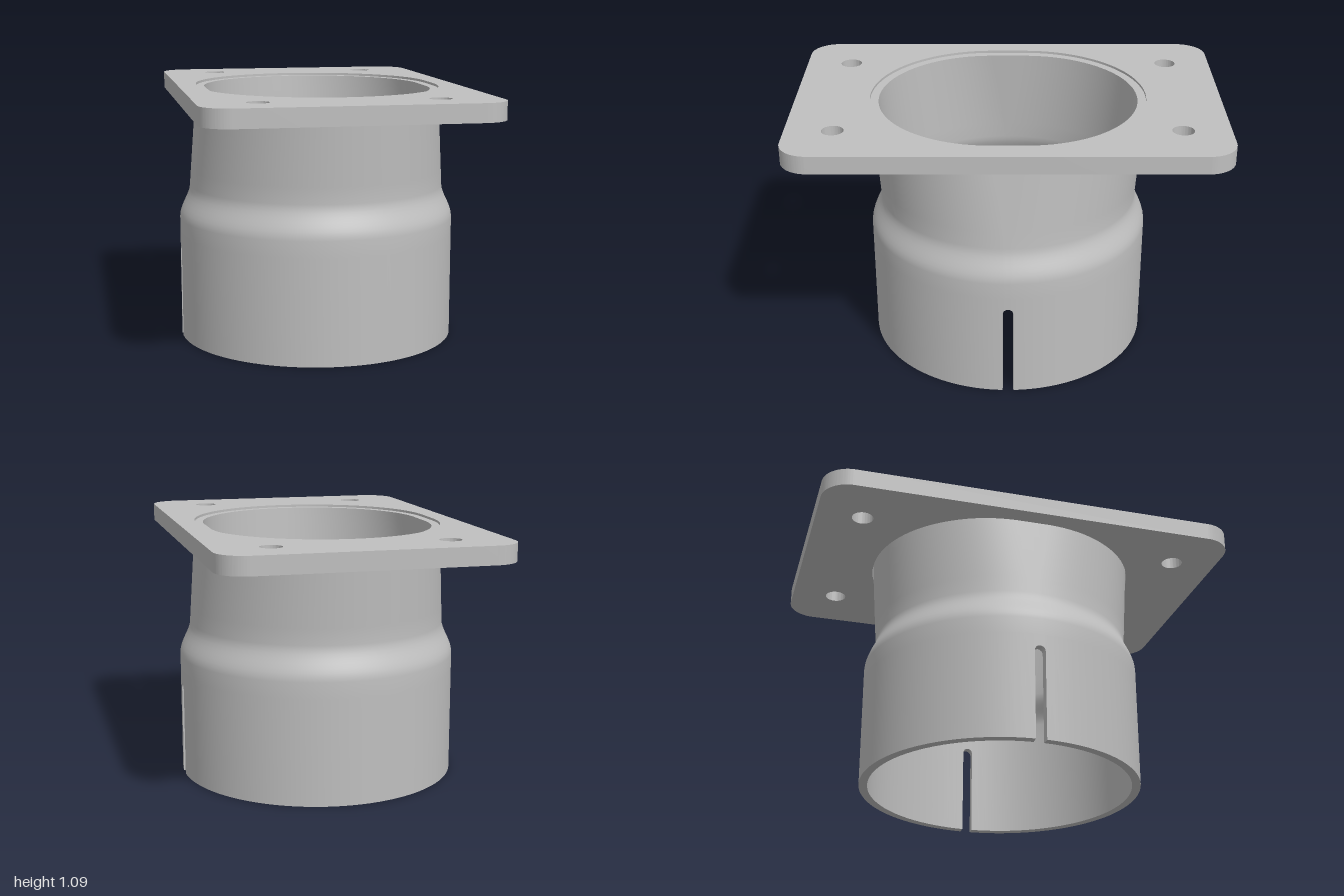
import * as THREE from 'three';
import { toCreasedNormals } from 'three/addons/utils/BufferGeometryUtils.js';

const WALL = 0.036;
const THROAT_R = 0.55, BODY_R = 0.595;
const TOP_R = 0.51, TOP_C = 0.07; // stretched opening: end radius and centre offset
const PLATE_Y = 1.015, PLATE_T = 0.075;

// Rectangle with rounded corners
function roundedRect(hw, hh, r) {
  const s = new THREE.Shape();
  s.absarc(hw - r, hh - r, r, 0, Math.PI / 2);
  s.absarc(-hw + r, hh - r, r, Math.PI / 2, Math.PI);
  s.absarc(-hw + r, -hh + r, r, Math.PI, Math.PI * 1.5);
  s.absarc(hw - r, -hh + r, r, Math.PI * 1.5, Math.PI * 2);
  s.closePath();
  return s;
}

// Flange plate with a stretched opening and four bolt holes
function plateGeometry() {
  const shape = roundedRect(0.891, 0.594, 0.12);
  const opening = new THREE.Path();
  opening.absarc(TOP_C, 0, TOP_R, -Math.PI / 2, Math.PI / 2);
  opening.absarc(-TOP_C, 0, TOP_R, Math.PI / 2, Math.PI * 1.5);
  opening.closePath();
  shape.holes.push(opening);
  for (const x of [-0.697, 0.697]) {
    for (const y of [-0.357, 0.357]) {
      shape.holes.push(new THREE.Path().absarc(x, y, 0.045, 0, Math.PI * 2));
    }
  }
  const g = new THREE.ExtrudeGeometry(shape, { depth: PLATE_T, bevelEnabled: false, curveSegments: 40 });
  g.rotateX(-Math.PI / 2).translate(0, PLATE_Y, 0);
  return toCreasedNormals(g, 0.6);
}

// Columns around the tube: angle and height of the lower edge, rising over the slots
function tubeColumns() {
  const cols = [], halfSlot = 0.0225, a = halfSlot / BODY_R, steps = 48;
  for (const mid of [Math.PI / 2, Math.PI * 1.5]) {
    cols.push([mid - a, 0]);
    for (let k = 0; k <= 8; k++) {
      const t = Math.PI * (1 - k / 8);
      cols.push([mid + a * Math.cos(t), 0.3775 + halfSlot * Math.sin(t)]);
    }
    cols.push([mid + a, 0]);
    for (let k = 1; k < steps; k++) cols.push([mid + a + (Math.PI - 2 * a) * k / steps, 0]);
  }
  return cols;
}

// Wall profile: height, radius, stretch; up the outside, then down the inside
function tubeRows() {
  const outer = [[null, BODY_R, 0], [0.45, BODY_R, 0]];
  for (let k = 0; k <= 8; k++) {
    const t = k / 8;
    outer.push([0.52 + 0.14 * t, THREE.MathUtils.lerp(BODY_R, THROAT_R, t * t * (3 - 2 * t)), 0]);
  }
  for (let k = 1; k <= 6; k++) {
    const t = k / 6;
    outer.push([0.66 + 0.42 * t, THREE.MathUtils.lerp(THROAT_R, TOP_R, t), TOP_C * t]);
  }
  const inner = outer.map(([y, r, c]) => [y, r - WALL, c]).reverse();
  return [...outer, ...inner];
}

function tubeGeometry() {
  const cols = tubeColumns(), rows = tubeRows(), pos = [];
  const point = (i, j) => {
    const [y, r, c] = rows[i % rows.length];
    const [angle, low] = cols[j % cols.length];
    const cx = Math.cos(angle);
    const side = Math.abs(cx) < 1e-6 ? 0 : Math.sign(cx);
    return new THREE.Vector3(r * cx + c * side, y === null ? low : y, r * Math.sin(angle));
  };
  const tri = new THREE.Triangle();
  const addFace = (a, b, c) => {
    if (tri.set(a, b, c).getArea() < 1e-9) return;
    for (const p of [a, b, c]) pos.push(p.x, p.y, p.z);
  };
  for (let i = 0; i < rows.length; i++) {
    for (let j = 0; j < cols.length; j++) {
      const a = point(i, j), b = point(i + 1, j), c = point(i + 1, j + 1), d = point(i, j + 1);
      addFace(a, b, c);
      addFace(a, c, d);
    }
  }
  const g = new THREE.BufferGeometry();
  g.setAttribute('position', new THREE.Float32BufferAttribute(pos, 3));
  return toCreasedNormals(g, 0.6);
}

export function createModel() {
  const steel = new THREE.MeshStandardMaterial({ color: 0xbfbfbf });
  steel.name = 'steel grey';

  const plate = new THREE.Mesh(plateGeometry(), steel);
  plate.name = 'flangePlate';
  const tube = new THREE.Mesh(tubeGeometry(), steel);
  tube.name = 'slottedTube';

  // The plate's long side runs diagonally
  const adapter = new THREE.Group();
  adapter.name = 'flangedPipeAdapter';
  adapter.add(plate, tube);
  adapter.rotation.y = -Math.PI / 4;

  const model = new THREE.Group();
  model.name = 'model';
  model.add(adapter);
  return model;
}
